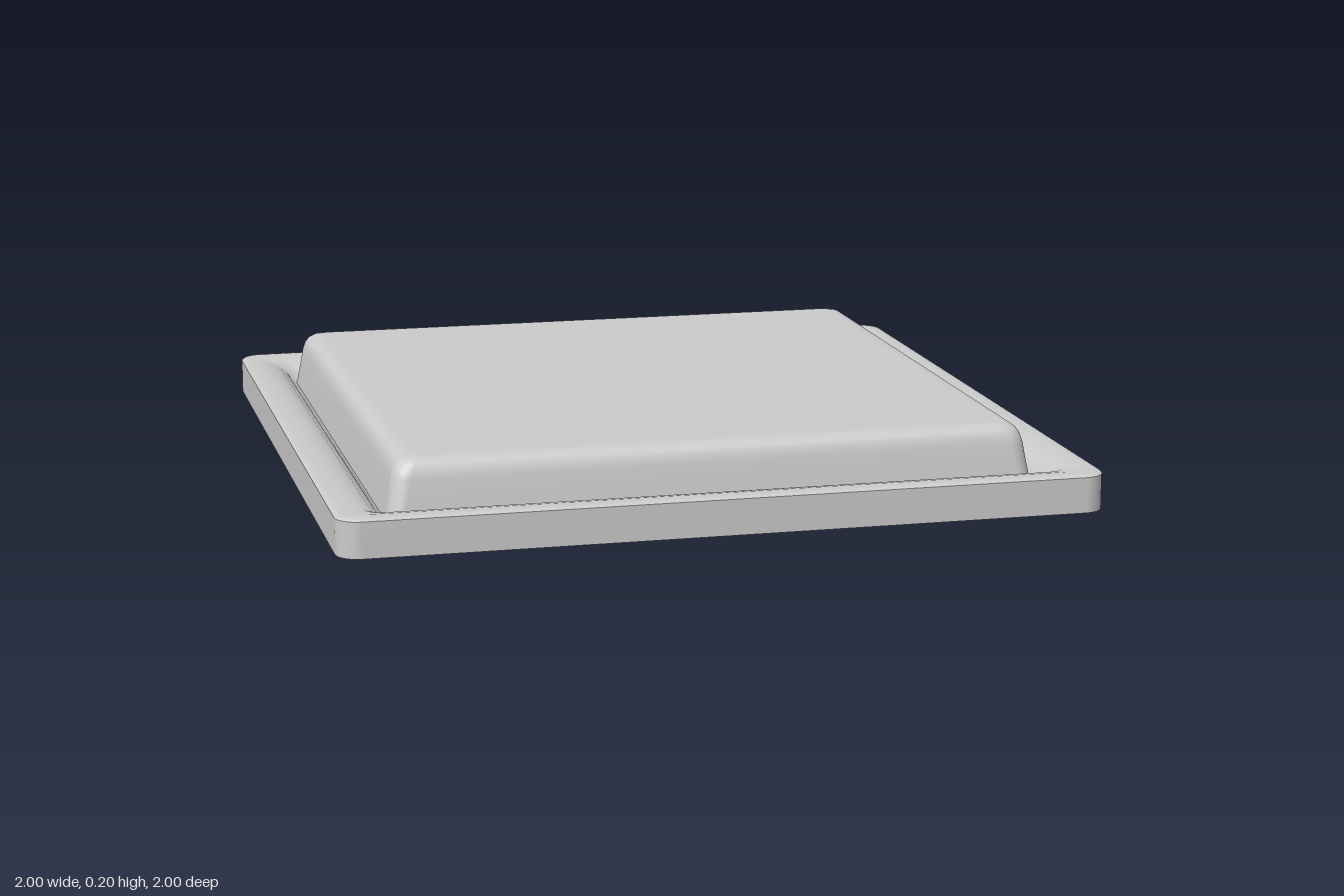
import * as THREE from 'three';

const CORNER_STEPS = 8;

// Rounded square outline, running from +x towards +z
function outline(half, radius) {
  const points = [];
  const c = half - radius;
  [[1, 1], [-1, 1], [-1, -1], [1, -1]].forEach(([sx, sz], q) => {
    for (let i = 0; i <= CORNER_STEPS; i++) {
      const a = (q + i / CORNER_STEPS) * Math.PI / 2;
      points.push([sx * c + radius * Math.cos(a), sz * c + radius * Math.sin(a)]);
    }
  });
  return points;
}

// Smooth skin over rounded squares, each given as [half width, height, corner radius]
function loft(rings) {
  const positions = [], indices = [];
  const n = 4 * (CORNER_STEPS + 1);
  for (const [half, y, radius] of rings) {
    for (const [x, z] of outline(half, radius)) positions.push(x, y, z);
  }
  for (let r = 0; r < rings.length - 1; r++) {
    for (let i = 0; i < n; i++) {
      const a = r * n + i, b = r * n + (i + 1) % n;
      indices.push(a, a + n, b, b, a + n, b + n);
    }
  }
  const geometry = new THREE.BufferGeometry();
  geometry.setAttribute('position', new THREE.Float32BufferAttribute(positions, 3));
  geometry.setIndex(indices);
  geometry.computeVertexNormals();
  return geometry;
}

// Flat rounded square facing up or down
function cap(half, y, radius, up) {
  const shape = new THREE.Shape(outline(half, radius).map(([x, z]) => new THREE.Vector2(x, z)));
  const geometry = new THREE.ShapeGeometry(shape);
  geometry.rotateX(up ? -Math.PI / 2 : Math.PI / 2);
  geometry.translate(0, y, 0);
  return geometry;
}

export function createModel() {
  const model = new THREE.Group();
  const material = new THREE.MeshStandardMaterial({ color: 0xcccccc });
  const add = (parent, name, geometry) => {
    const mesh = new THREE.Mesh(geometry, material);
    mesh.name = name;
    parent.add(mesh);
  };

  // Square base with a rim that rolls down into a groove
  const base = new THREE.Group();
  base.name = 'base';
  add(base, 'baseUnderside', cap(1, 0, 0.06, false));
  add(base, 'baseSide', loft([[1, 0, 0.06], [1, 0.094, 0.06]]));
  add(base, 'baseRim', loft([
    [1, 0.094, 0.06], [0.995, 0.099, 0.06], [0.98, 0.1, 0.06], [0.95, 0.099, 0.055],
    [0.92, 0.094, 0.05], [0.895, 0.083, 0.045], [0.875, 0.066, 0.04],
    [0.865, 0.052, 0.04], [0.853, 0.045, 0.04],
  ]));

  // Raised panel with sloping sides and a softly rounded top edge
  const panel = new THREE.Group();
  panel.name = 'panel';
  add(panel, 'panelSide', loft([
    [0.853, 0.045, 0.04], [0.844, 0.1, 0.045], [0.836, 0.15, 0.045], [0.83, 0.172, 0.045],
    [0.821, 0.187, 0.045], [0.808, 0.196, 0.04], [0.79, 0.2, 0.035], [0.77, 0.2, 0.03],
  ]));
  add(panel, 'panelTop', cap(0.77, 0.2, 0.03, true));

  model.add(base, panel);
  return model;
}
